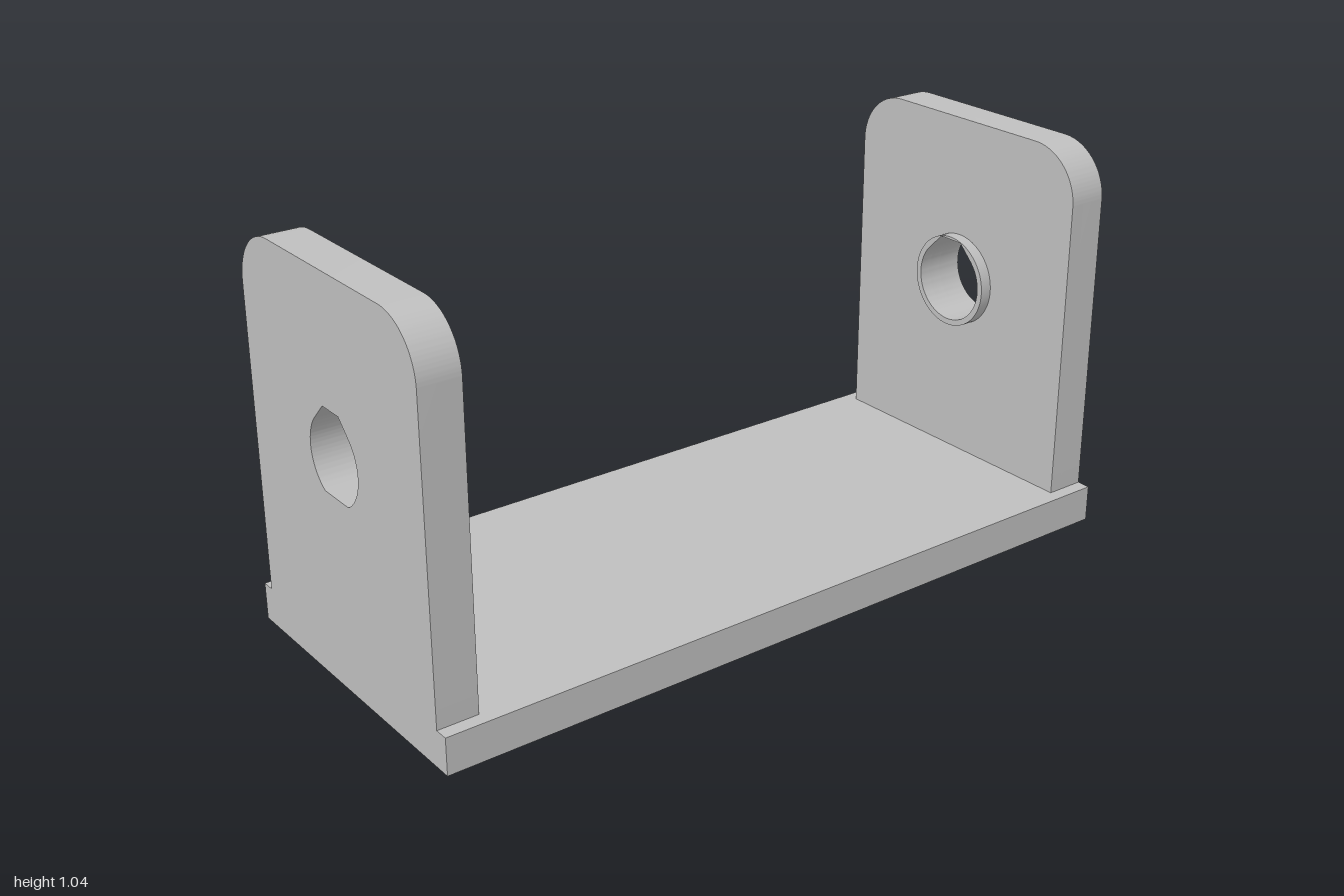
import * as THREE from 'three';
import { toCreasedNormals } from 'three/addons/utils/BufferGeometryUtils.js';

const BASE_H = 0.097, BASE_HALF_Z = 0.428;
const TOP = 1.037, HALF_Z = 0.392, CORNER = 0.142, PLATE_T = 0.107;
const BORE_Y = 0.592, BORE_R = 0.109, BOSS_R = 0.125, BOSS_L = 0.033;
const SCREW_R = 0.037, SCREW_DEPTH = 0.07;

const metal = new THREE.MeshStandardMaterial({ color: 0xbfbfbf });
metal.name = 'plain grey';

function circle(x, y, r) {
  const p = new THREE.Path();
  p.absarc(x, y, r, 0, Math.PI * 2, false);
  return p;
}

// Round bore with a 45 degree truncated peak, optionally with a flat floor
function bore(flat) {
  const p = new THREE.Path();
  const q = Math.PI / 4;
  if (flat) {
    const a = Math.asin(0.095 / BORE_R);
    p.absarc(0, BORE_Y, BORE_R, 3 * q, Math.PI + a, false);
    p.absarc(0, BORE_Y, BORE_R, -a, q, false);
  } else {
    p.absarc(0, BORE_Y, BORE_R, 3 * q, 9 * q, false);
  }
  p.lineTo(0.036, BORE_Y + 0.118);
  p.lineTo(-0.036, BORE_Y + 0.118);
  p.closePath();
  return p;
}

// Upright outline with rounded top corners, drawn in the z-y plane
function uprightShape(flat) {
  const s = new THREE.Shape();
  s.moveTo(-HALF_Z, BASE_H);
  s.lineTo(HALF_Z, BASE_H);
  s.absarc(HALF_Z - CORNER, TOP - CORNER, CORNER, 0, Math.PI / 2, false);
  s.absarc(-HALF_Z + CORNER, TOP - CORNER, CORNER, Math.PI / 2, Math.PI, false);
  s.closePath();
  s.holes.push(bore(flat));
  return s;
}

function extrude(shape, depth) {
  const g = new THREE.ExtrudeGeometry(shape, { depth, bevelEnabled: false, curveSegments: 32 });
  return toCreasedNormals(g, 0.5);
}

// Slab spanning x0..x1 from a z-y shape
function slabX(name, shape, x0, x1) {
  const g = extrude(shape, x1 - x0);
  g.rotateY(Math.PI / 2);
  g.translate(x0, 0, 0);
  const m = new THREE.Mesh(g, metal);
  m.name = name;
  return m;
}

// Slab spanning y0..y1 from a plan shape
function slabY(name, shape, y0, y1) {
  const g = extrude(shape, y1 - y0);
  g.rotateX(-Math.PI / 2);
  g.translate(0, y0, 0);
  const m = new THREE.Mesh(g, metal);
  m.name = name;
  return m;
}

function baseShape() {
  const s = new THREE.Shape();
  s.moveTo(-1, -BASE_HALF_Z);
  s.lineTo(1, -BASE_HALF_Z);
  s.lineTo(1, BASE_HALF_Z);
  s.lineTo(-1, BASE_HALF_Z);
  s.closePath();
  return s;
}

function bossShape() {
  const s = new THREE.Shape();
  s.absarc(0, BORE_Y, BOSS_R, 0, Math.PI * 2, false);
  s.holes.push(bore(false));
  return s;
}

export function createModel() {
  const model = new THREE.Group();
  model.name = 'uprightBracket';

  // Base: drilled lower layer under a solid upper layer gives blind screw holes
  const base = new THREE.Group();
  base.name = 'base';
  const drilledBase = baseShape();
  for (const x of [-0.786, 0.786])
    for (const z of [-0.25, 0.25]) drilledBase.holes.push(circle(x, z, SCREW_R));
  base.add(slabY('baseUnderside', drilledBase, 0, SCREW_DEPTH));
  base.add(slabY('baseTop', baseShape(), SCREW_DEPTH, BASE_H));
  model.add(base);

  // Left upright: four blind screw holes on its outer side
  const left = new THREE.Group();
  left.name = 'leftUpright';
  const drilled = uprightShape(false);
  for (const z of [-0.25, 0.25])
    for (const y of [0.288, 0.893]) drilled.holes.push(circle(z, y, SCREW_R));
  left.add(slabX('leftOuterLayer', drilled, 1 - SCREW_DEPTH, 1));
  left.add(slabX('leftInnerLayer', uprightShape(false), 1 - PLATE_T, 1 - SCREW_DEPTH));
  left.add(slabX('leftBoss', bossShape(), 1 - PLATE_T - BOSS_L, 1 - PLATE_T));
  model.add(left);

  // Right upright: undrilled, with a flat-bottomed bore
  const right = new THREE.Group();
  right.name = 'rightUpright';
  right.add(slabX('rightPlate', uprightShape(true), -1, -1 + PLATE_T));
  right.add(slabX('rightBoss', bossShape(), -1 + PLATE_T, -1 + PLATE_T + BOSS_L));
  model.add(right);

  return model;
}
